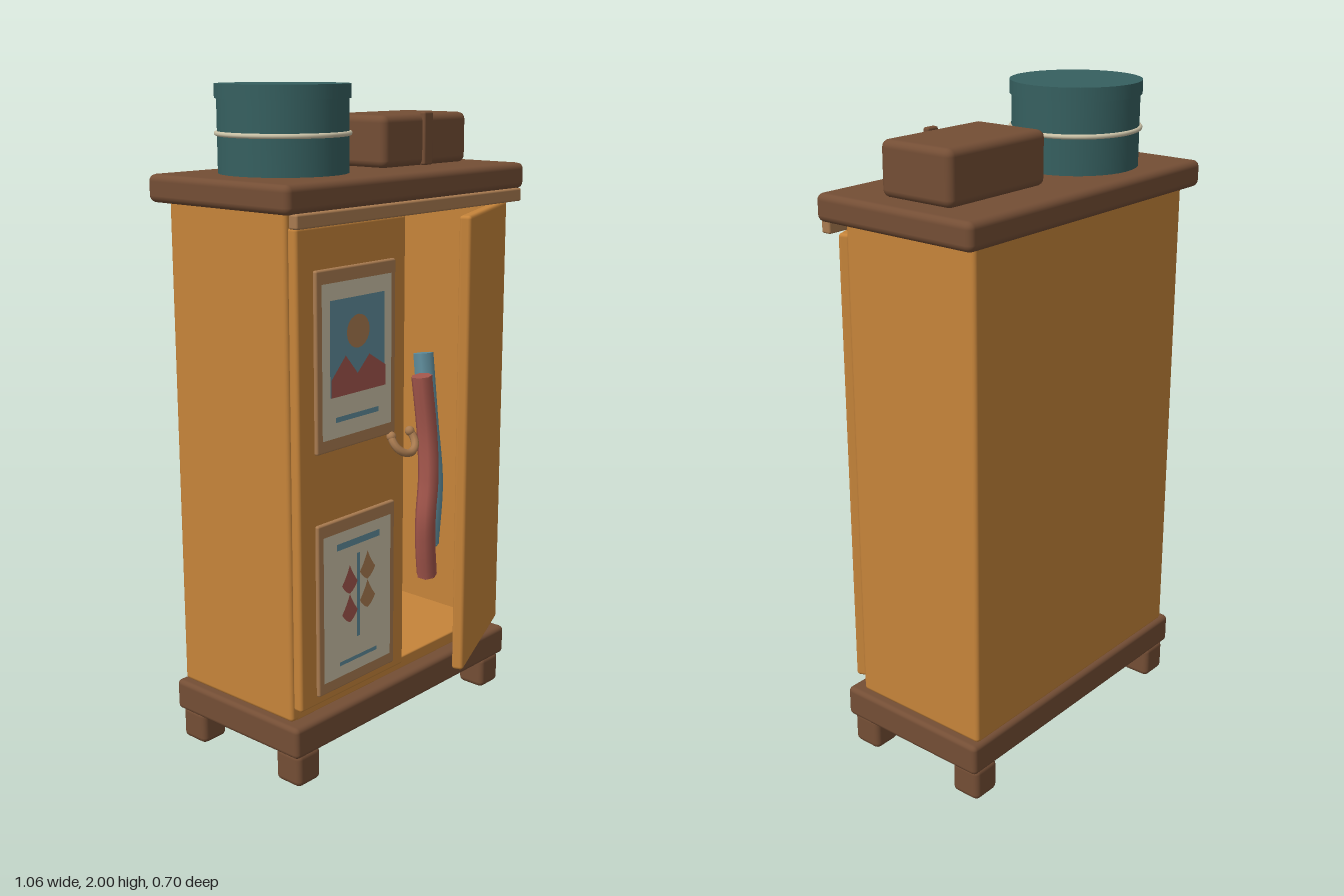
import * as THREE from 'three';
import { RoundedBoxGeometry } from 'three/addons/geometries/RoundedBoxGeometry.js';

const mat = (name, color, side = THREE.FrontSide) => {
  const m = new THREE.MeshStandardMaterial({ color, side });
  m.name = name;
  return m;
};

export function createModel() {
  const root = new THREE.Group();
  root.name = 'wardrobe';
  const honey = mat('honeyWood', 0xc6843a), brown = mat('darkWood', 0x744e35), tan = mat('tan', 0xa97b50);
  const cream = mat('cream', 0xcbc2a7), blue = mat('blue', 0x5f8c9b), red = mat('red', 0xa3564c), teal = mat('teal', 0x366060);

  const add = (name, geo, material, parent = root) => {
    const mesh = new THREE.Mesh(geo, material);
    mesh.name = name;
    parent.add(mesh);
    return mesh;
  };
  // Rounded box given by its extents on each axis
  const block = (name, [x0, x1], [y0, y1], [z0, z1], material, r = 0.01, parent = root) => {
    const mesh = add(name, new RoundedBoxGeometry(x1 - x0, y1 - y0, z1 - z0, 2, r), material, parent);
    mesh.position.set((x0 + x1) / 2, (y0 + y1) / 2, (z0 + z1) / 2);
    return mesh;
  };

  // Feet, plinth, cornice and the bead below it
  for (const x of [-0.443, 0.443])
    for (const z of [0.13, -0.277])
      block('foot', [x - 0.048, x + 0.048], [0, 0.105], [z - 0.049, z + 0.049], brown, 0.018);
  block('plinth', [-0.507, 0.507], [0.1, 0.197], [-0.332, 0.188], brown, 0.015);
  block('cornice', [-0.532, 0.532], [1.672, 1.752], [-0.353, 0.203], brown, 0.02);
  block('corniceBead', [-0.505, 0.505], [1.635, 1.675], [0.178, 0.21], tan, 0.006);

  // Carcass panels around the hollow inside
  for (const s of [-1, 1])
    block('sidePanel', [s * 0.4625 - 0.0175, s * 0.4625 + 0.0175], [0.195, 1.678], [-0.32, 0.142], honey, 0.012);
  block('backPanel', [-0.475, 0.475], [0.195, 1.678], [-0.32, -0.29], honey);
  block('floorPanel', [-0.46, 0.46], [0.195, 0.235], [-0.31, 0.14], honey, 0.005);
  block('ceilingPanel', [-0.46, 0.46], [1.638, 1.678], [-0.31, 0.14], honey, 0.005);
  block('divider', [-0.03, 0], [0.22, 1.65], [-0.3, 0.14], honey, 0.004);

  // Closed door, and the other one standing ajar on its hinge
  block('closedDoor', [-0.475, -0.017], [0.235, 1.635], [0.142, 0.176], honey);
  const hinge = new THREE.Group();
  hinge.name = 'openDoorHinge';
  hinge.position.set(0.475, 0, 0.155);
  hinge.rotation.y = 0.4;
  root.add(hinge);
  block('openDoor', [-0.455, 0], [0.235, 1.635], [-0.018, 0.018], honey, 0.01, hinge);

  // Ring pull hanging forward from two small knobs
  const pull = new THREE.Group();
  pull.name = 'ringPull';
  pull.position.set(-0.05, 0.975, 0.197);
  pull.rotation.x = -0.6;
  root.add(pull);
  const arc = Math.PI * 1.25;
  const ring = add('pullRing', new THREE.TorusGeometry(0.046, 0.012, 8, 24, arc), tan, pull);
  ring.rotation.z = -Math.PI / 2 - arc / 2;
  for (const s of [-1, 1]) {
    const a = -Math.PI / 2 + s * arc / 2;
    add('pullKnob', new THREE.SphereGeometry(0.015, 12, 8), tan, pull)
      .position.set(0.046 * Math.cos(a), 0.046 * Math.sin(a), 0);
  }

  // Flat painted pieces on the posters
  const flat = (name, shape, material, layer) => {
    add(name, new THREE.ShapeGeometry(shape, 10), material).position.z = 0.189 + layer * 0.002;
  };
  const polygon = pts => new THREE.Shape(pts.map(p => new THREE.Vector2(...p)));
  const rect = (x0, x1, y0, y1) => polygon([[x0, y0], [x1, y0], [x1, y1], [x0, y1]]);
  const posterBase = (y0, y1) => {
    block('posterFrame', [-0.41, -0.075], [y0, y1], [0.17, 0.187], tan, 0.006);
    flat('posterPaper', rect(-0.39, -0.097, y0 + 0.037, y1 - 0.039), cream, 0);
  };

  // Upper poster: mountains under a sun
  posterBase(0.998, 1.515);
  flat('sky', rect(-0.36, -0.13, 1.155, 1.428), blue, 1);
  flat('sun', new THREE.Shape().absarc(-0.245, 1.33, 0.048, 0, Math.PI * 2), tan, 2);
  flat('mountains', polygon([[-0.36, 1.155], [-0.13, 1.155], [-0.13, 1.215], [-0.2, 1.258],
    [-0.25, 1.21], [-0.3, 1.268], [-0.36, 1.205]]), red, 3);
  flat('captionLine', rect(-0.337, -0.155, 1.08, 1.095), blue, 1);

  // Lower poster: a stem with four leaves
  posterBase(0.265, 0.79);
  flat('titleBar', rect(-0.337, -0.15, 0.698, 0.718), blue, 1);
  flat('stem', rect(-0.25, -0.237, 0.408, 0.67), blue, 1);
  flat('captionLine', rect(-0.325, -0.162, 0.337, 0.349), blue, 1);
  const leaf = (x, y) => {
    const s = new THREE.Shape();
    s.moveTo(x, y + 0.045);
    s.quadraticCurveTo(x - 0.012, y + 0.015, x - 0.034, y - 0.012);
    s.quadraticCurveTo(x - 0.02, y - 0.036, x, y - 0.044);
    s.quadraticCurveTo(x + 0.02, y - 0.036, x + 0.034, y - 0.012);
    s.quadraticCurveTo(x + 0.012, y + 0.015, x, y + 0.045);
    return s;
  };
  for (const [x, y, m] of [[-0.283, 0.598, red], [-0.283, 0.508, red], [-0.205, 0.622, tan], [-0.205, 0.532, tan]])
    flat('leaf', leaf(x, y), m, 2);

  // Cloths slipping out past the open door, with capped ends
  const cloth = (name, pts, radius, material) => {
    const curve = new THREE.CatmullRomCurve3(pts.map(p => new THREE.Vector3(...p)));
    add(name, new THREE.TubeGeometry(curve, 24, radius, 7), material);
    for (const t of [0, 1]) {
      const cap = add(name + 'End', new THREE.CylinderGeometry(radius, radius, 0.004, 7), material);
      cap.position.copy(curve.getPoint(t));
      cap.quaternion.setFromUnitVectors(new THREE.Vector3(0, 1, 0), curve.getTangent(t));
    }
  };
  cloth('redScarf', [[0.037, 1.15, 0.195], [0.053, 0.97, 0.205], [0.043, 0.84, 0.22],
    [0.022, 0.72, 0.228], [0.03, 0.62, 0.222], [0.047, 0.525, 0.215]], 0.032, red);
  cloth('blueScarf', [[0.11, 1.2, 0.14], [0.1, 1.0, 0.17], [0.115, 0.8, 0.18], [0.105, 0.6, 0.175]], 0.032, blue);

  // Round hat box tied with cord
  const hatBox = new THREE.Group();
  hatBox.name = 'hatBox';
  hatBox.position.set(-0.24, 0, -0.095);
  root.add(hatBox);
  add('hatBoxBody', new THREE.CylinderGeometry(0.188, 0.188, 0.22, 36), teal, hatBox).position.y = 1.86;
  add('hatBoxLid', new THREE.CylinderGeometry(0.194, 0.194, 0.04, 36), teal, hatBox).position.y = 1.98;
  const cord = add('hatBoxCord', new THREE.TorusGeometry(0.19, 0.007, 8, 40), cream, hatBox);
  cord.rotation.x = Math.PI / 2;
  cord.position.y = 1.863;

  // Small case with a front strap
  block('smallCase', [0.052, 0.453], [1.75, 1.905], [-0.217, 0.032], brown, 0.022);
  block('caseStrap', [0.23, 0.272], [1.752, 1.911], [0.02, 0.041], brown, 0.006);

  return root;
}
